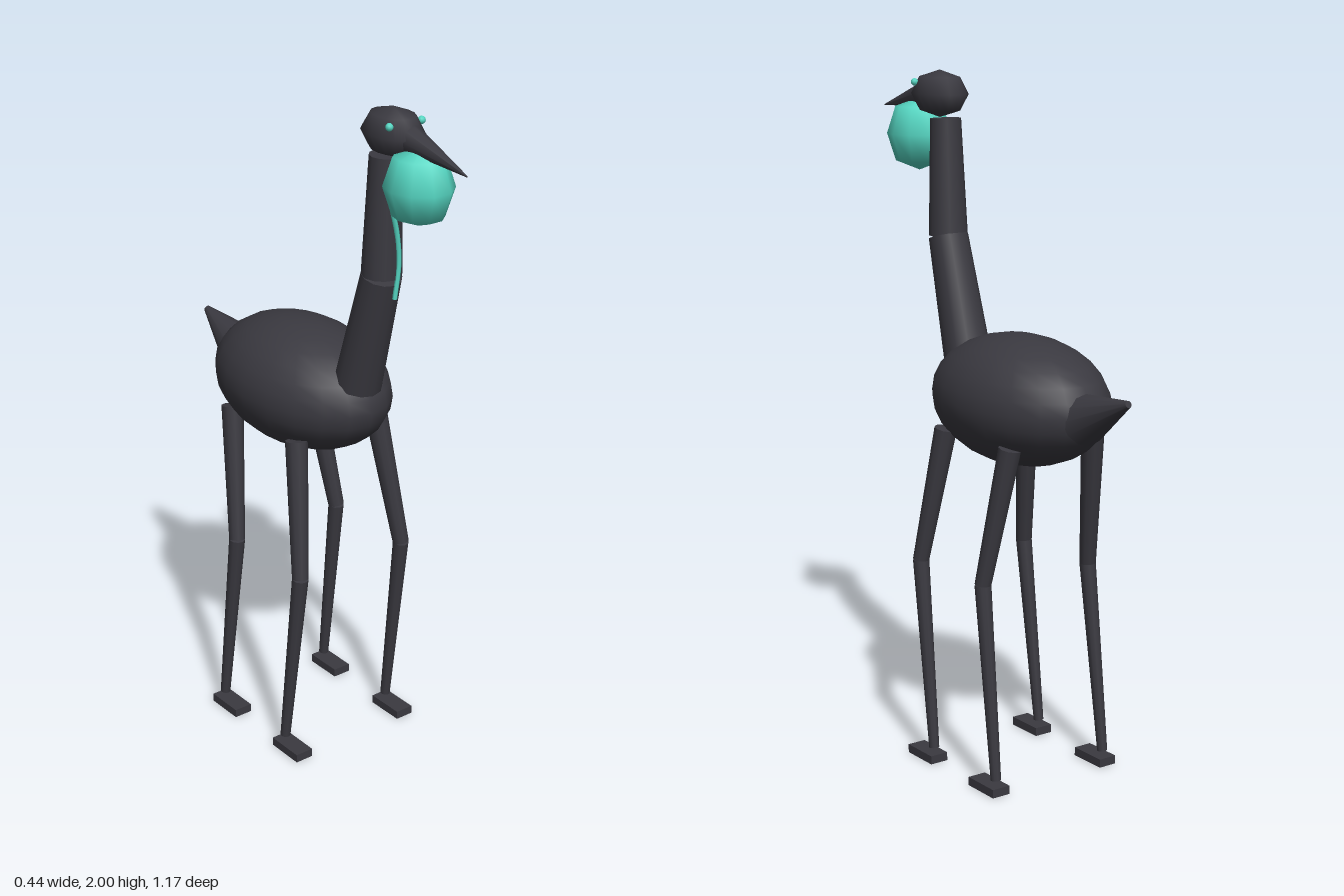
import * as THREE from 'three';

const dark = new THREE.MeshStandardMaterial({ color: 0x3a3940 });
dark.name = 'charcoal';
const teal = new THREE.MeshStandardMaterial({ color: 0x55d6c2 });
teal.name = 'teal';

const UP = new THREE.Vector3(0, 1, 0);

function add(parent, name, geometry, material, x = 0, y = 0, z = 0) {
  const mesh = new THREE.Mesh(geometry, material);
  mesh.name = name;
  mesh.position.set(x, y, z);
  parent.add(mesh);
  return mesh;
}

// Tapered cylinder running from point a (radius ra) to point b (radius rb)
function limb(parent, name, a, b, ra, rb, sides = 10) {
  const start = new THREE.Vector3(...a);
  const dir = new THREE.Vector3(...b).sub(start);
  const mesh = add(parent, name, new THREE.CylinderGeometry(rb, ra, dir.length(), sides), dark);
  mesh.position.copy(start).addScaledVector(dir, 0.5);
  mesh.quaternion.setFromUnitVectors(UP, dir.normalize());
  return mesh;
}

function ellipsoid(rx, ry, rz, w, h) {
  return new THREE.SphereGeometry(1, w, h).scale(rx, ry, rz);
}

export function createModel() {
  const model = new THREE.Group();
  model.name = 'longLeggedBird';

  // Body and tail
  add(model, 'body', ellipsoid(0.213, 0.186, 0.322, 20, 14), dark, 0, 1.098, -0.1);
  limb(model, 'tail', [0, 1.09, -0.39], [0, 1.165, -0.58], 0.075, 0.01, 12);

  // Two-part neck, bent in the middle
  limb(model, 'lowerNeck', [0, 1.173, 0.157], [0, 1.523, 0.255], 0.07, 0.058, 12);
  limb(model, 'upperNeck', [0, 1.525, 0.255], [0, 1.863, 0.266], 0.057, 0.045, 12);

  // Head, beak and eyes
  add(model, 'head', ellipsoid(0.073, 0.068, 0.102, 16, 4), dark, 0, 1.932, 0.295);
  limb(model, 'beak', [0, 1.928, 0.37], [0, 1.883, 0.587], 0.037, 0.002, 8);
  for (const side of [-1, 1]) {
    add(model, side > 0 ? 'leftEye' : 'rightEye',
      new THREE.SphereGeometry(0.011, 8, 6), teal, side * 0.054, 1.964, 0.345);
  }

  // Faceted throat pouch
  const profile = [[0, -0.107], [0.068, -0.08], [0.093, 0], [0.068, 0.08], [0, 0.104]]
    .map(([r, y]) => new THREE.Vector2(r, y));
  const pouch = new THREE.LatheGeometry(profile, 10, Math.PI / 10).scale(1, 1, 1.08);
  add(model, 'throatPouch', pouch, teal, 0, 1.81, 0.403);

  // Wavy streak down the front of the neck
  const path = new THREE.CatmullRomCurve3([
    [-0.016, 1.73, 0.315], [0.004, 1.65, 0.314], [0.012, 1.57, 0.313], [0, 1.47, 0.312],
  ].map((p) => new THREE.Vector3(...p)));
  add(model, 'neckStreak', new THREE.TubeGeometry(path, 16, 0.007, 6), teal);

  // Four jointed legs with flat feet
  for (const side of [-1, 1]) {
    for (const [end, dz] of [['front', 0], ['back', -0.311]]) {
      const leg = new THREE.Group();
      leg.name = `${end}${side > 0 ? 'Left' : 'Right'}Leg`;
      const hip = [side * 0.145, 1.0, 0.063 + dz];
      const knee = [side * 0.187, 0.6, 0.133 + dz];
      const ankle = [side * 0.193, 0.04, 0.063 + dz];
      limb(leg, 'upperLeg', hip, knee, 0.033, 0.024);
      limb(leg, 'lowerLeg', knee, ankle, 0.024, 0.015);
      add(leg, 'foot', new THREE.BoxGeometry(0.057, 0.025, 0.12), dark,
        side * 0.193, 0.0125, 0.097 + dz);
      model.add(leg);
    }
  }
  return model;
}
